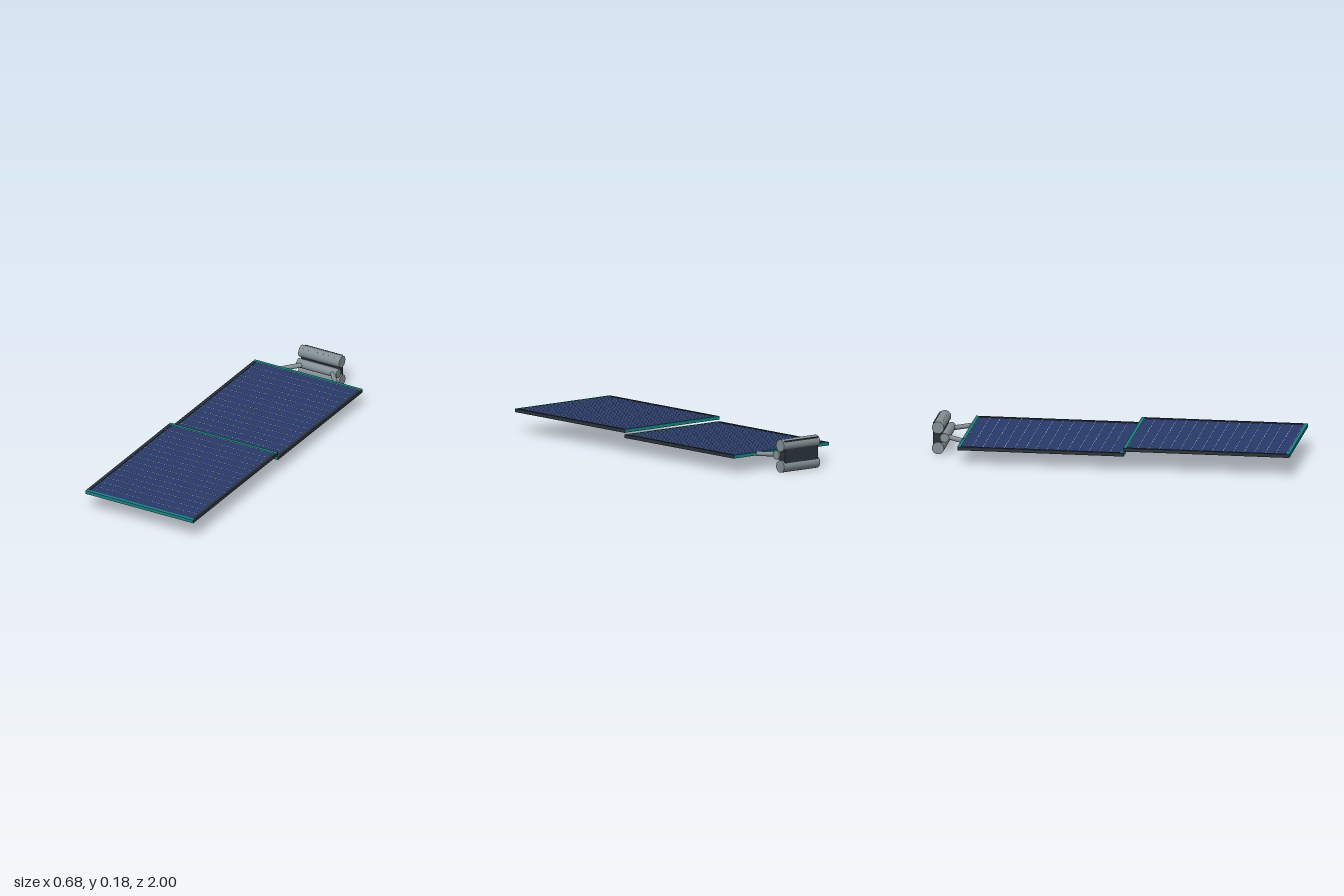
import * as THREE from 'three';

const mat = (name, color) => {
  const m = new THREE.MeshStandardMaterial({ color });
  m.name = name;
  return m;
};

export function createModel() {
  const metal = mat('grey metal', 0x839095);
  const backing = mat('light grey backing', 0xaeb5b9);
  const dark = mat('dark frame', 0x2a343c);
  const teal = mat('teal trim', 0x1a8084);
  const cell = mat('blue cells', 0x283a6b);
  const line = mat('pale lines', 0xe2e7ea);

  const root = new THREE.Group();
  root.name = 'solarArray';

  const box = (parent, name, material, w, h, d, x, y, z) => {
    const m = new THREE.Mesh(new THREE.BoxGeometry(w, h, d), material);
    m.name = name;
    m.position.set(x, y, z);
    parent.add(m);
  };

  // Round bar between two points
  const rod = (parent, name, r, a, b) => {
    const dir = b.clone().sub(a);
    const m = new THREE.Mesh(new THREE.CylinderGeometry(r, r, dir.length(), 32), metal);
    m.name = name;
    m.position.copy(a).add(b).multiplyScalar(0.5);
    m.quaternion.setFromUnitVectors(new THREE.Vector3(0, 1, 0), dir.normalize());
    parent.add(m);
  };

  // One framed panel with cell rows and an underside spine
  const panel = (name, y, z) => {
    const g = new THREE.Group();
    g.name = name;
    g.position.set(0, y, z);
    root.add(g);
    box(g, 'cellSheet', cell, 0.65, 0.008, 0.886, 0, 0.002, 0);
    box(g, 'backSheet', backing, 0.65, 0.006, 0.886, 0, -0.005, 0);
    for (const s of [-1, 1]) {
      box(g, 'sideRail', dark, 0.018, 0.019, 0.914, s * 0.331, 0, 0);
      box(g, 'endBar', teal, 0.679, 0.0184, 0.0185, 0, 0.0005, s * 0.4485);
    }
    for (let i = 0; i < 16; i++) {
      box(g, 'cellLine', line, 0.644, 0.001, 0.0017, 0, 0.0065, -0.4375 + i * 0.875 / 15);
    }
    box(g, 'spine', dark, 0.065, 0.012, 0.65, 0, -0.0135, 0);
  };
  panel('frontPanel', 0.1198, 0.5415);
  panel('rearPanel', 0.0917, -0.37);

  // Rear mount: housing held between parallel drums
  const mount = new THREE.Group();
  mount.name = 'mount';
  root.add(mount);
  box(mount, 'housing', dark, 0.236, 0.1555, 0.0475, 0, 0.0978, -0.9705);
  box(mount, 'housingPlate', teal, 0.18, 0.025, 0.004, 0, 0.0625, -0.945);
  const drum = (name, r, half, y, z) =>
    rod(mount, name, r, new THREE.Vector3(-half, y, z), new THREE.Vector3(half, y, z));
  drum('upperDrum', 0.0335, 0.129, 0.1485, -0.9665);
  drum('lowerDrum', 0.0335, 0.129, 0.0335, -0.9665);
  drum('hingeDrum', 0.025, 0.127, 0.092, -0.931);

  // Splayed arms to the rear panel
  for (const s of [-1, 1]) {
    rod(mount, 'arm', 0.0132,
      new THREE.Vector3(s * 0.09, 0.092, -0.925),
      new THREE.Vector3(s * 0.173, 0.092, -0.822));
  }
  return root;
}
